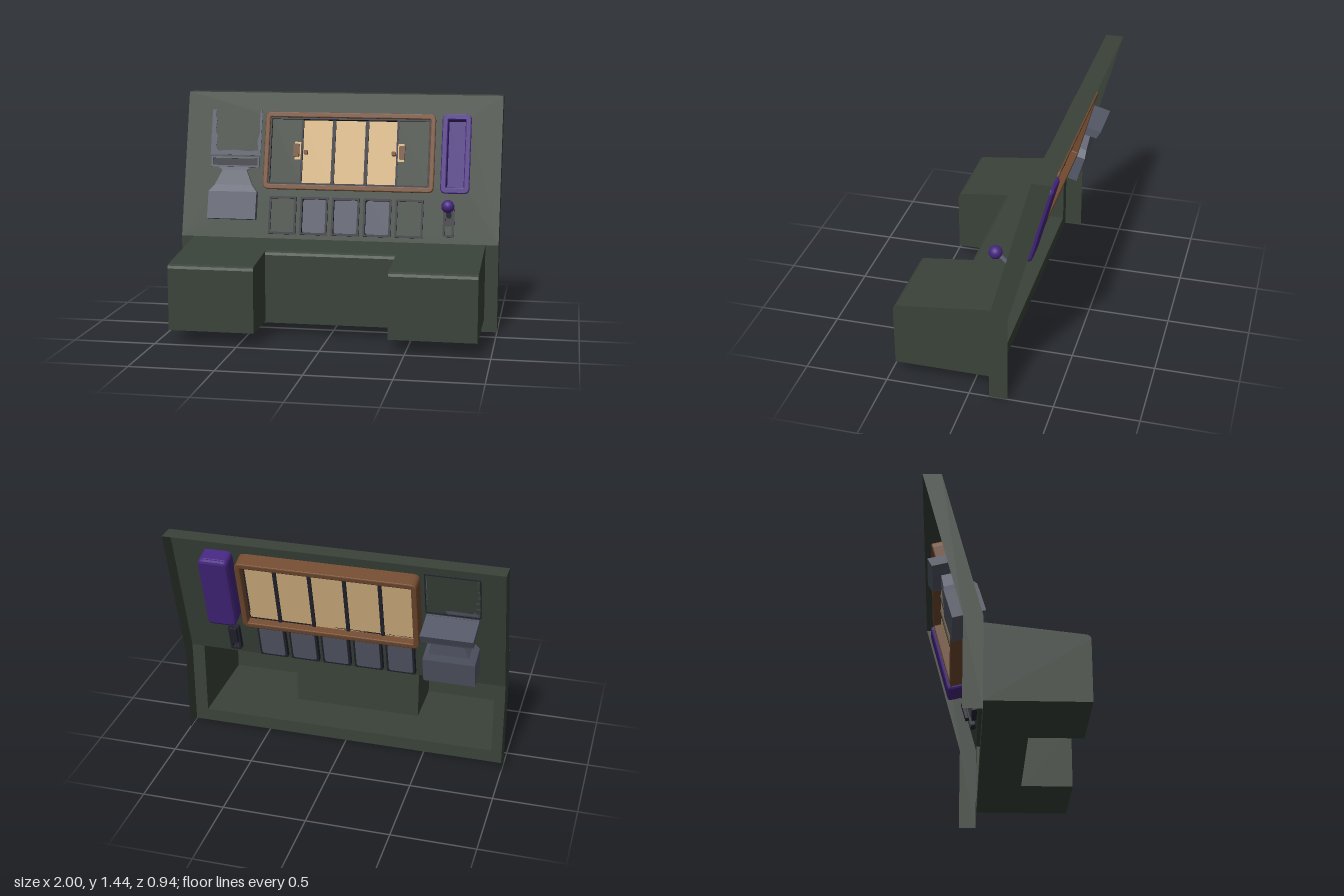
import * as THREE from 'three';

const mat = (name, color, side = THREE.FrontSide) => {
  const m = new THREE.MeshStandardMaterial({ color, side });
  m.name = name;
  return m;
};

export function createModel() {
  const green = mat('dark green', 0x394239, THREE.DoubleSide);
  const grey = mat('slate grey', 0x555968, THREE.DoubleSide);
  const navy = mat('blackish blue', 0x22232e);
  const purple = mat('purple', 0x45267f);
  const brown = mat('brown', 0x724b30);
  const tan = mat('tan', 0xd8b683);

  const model = new THREE.Group();
  model.name = 'console';
  // Sloping face: local y runs up the panel, local z points out of it
  const slope = new THREE.Group();
  slope.name = 'slopingPanel';
  slope.position.set(0, 0.545, -0.12);
  slope.rotation.x = -Math.atan2(0.24, 0.895);
  model.add(slope);
  const S = y => (y - 0.545) * 1.0353;

  const add = (parent, name, geo, material, x = 0, y = 0, z = 0) => {
    const mesh = new THREE.Mesh(geo, material);
    mesh.name = name;
    mesh.position.set(x, y, z);
    parent.add(mesh);
    return mesh;
  };
  const poly = pts => new THREE.Shape(pts.map(p => new THREE.Vector2(...p)));
  // Rounded rectangle on the slope, given by its edges
  const rect = (x0, x1, y0, y1, r = 0.004) => {
    const s = new THREE.Shape(), a = S(y0), b = S(y1);
    s.moveTo(x0 + r, a).lineTo(x1 - r, a).quadraticCurveTo(x1, a, x1, a + r);
    s.lineTo(x1, b - r).quadraticCurveTo(x1, b, x1 - r, b);
    s.lineTo(x0 + r, b).quadraticCurveTo(x0, b, x0, b - r);
    s.lineTo(x0, a + r).quadraticCurveTo(x0, a, x0 + r, a);
    return s;
  };
  const extrude = (shape, n0, n1, bevel = 0) => new THREE.ExtrudeGeometry(shape, {
    depth: n1 - n0 - 2 * bevel, curveSegments: 5, bevelEnabled: bevel > 0,
    bevelSize: bevel, bevelThickness: bevel, bevelOffset: -bevel, bevelSegments: 2,
  }).translate(0, 0, n0 + bevel);
  const plate = (name, m, x0, x1, y0, y1, n0, n1, r) =>
    add(slope, name, extrude(rect(x0, x1, y0, y1, r), n0, n1), m);
  const ring = (name, m, [x0, x1, y0, y1], t, n0, n1, r = 0.004, bevel = 0) => {
    const s = rect(x0, x1, y0, y1, r);
    s.holes.push(rect(x0 + t, x1 - t, y0 + t, y1 - t, Math.max(0.003, r - t)));
    return add(slope, name, extrude(s, n0, n1, bevel), m);
  };

  // Shell: open at the back and underneath
  add(model, 'lowerFront', new THREE.ShapeGeometry(poly([[-1, 0], [1, 0], [1, 0.545], [0.92, 0.545],
    [0.92, 0.08], [-0.92, 0.08], [-0.92, 0.545], [-1, 0.545]])), green, 0, 0, -0.12);
  const side = new THREE.ShapeGeometry(poly([[0.12, 0], [0.23, 0], [0.23, 0.545], [0.47, 1.44],
    [0.36, 1.44], [0.12, 0.545]])).rotateY(Math.PI / 2);
  for (const x of [-1, 1]) add(model, 'sideWall', side, green, x);
  add(model, 'topWall', new THREE.PlaneGeometry(2, 0.11).rotateX(-Math.PI / 2), green, 0, 1.44, -0.415);
  const face = rect(-1, 1, 0.545, 1.44, 0.001);
  face.holes.push(rect(-0.48, 0.58, 0.855, 1.31, 0.02), rect(0.645, 0.795, 0.86, 1.31, 0.02));
  const buttonX = [-0.355, -0.155, 0.045, 0.245, 0.445];
  for (const x of buttonX) face.holes.push(rect(x - 0.08, x + 0.08, 0.585, 0.79));
  add(slope, 'panelFace', new THREE.ShapeGeometry(face), green);

  // Desk: hollow U with a sloping top and softened front edge
  const outline = [[-0.92, -0.12], [-0.92, 0.47], [-0.4, 0.47], [-0.4, 0.15],
    [0.4, 0.15], [0.4, 0.47], [0.92, 0.47], [0.92, -0.12]];
  const topY = z => 0.545 - (z + 0.12) * 0.115;
  const inset = (p, d) => [p[0], p[1] > 0 ? p[1] - d : p[1]];
  const rows = [[0, null], [0, 0.022], [0.007, 0.007], [0.022, 0]];
  const wall = [];
  const deskPoint = (p, [d, drop]) => {
    const [x, z] = inset(p, d);
    return [x, drop === null ? 0.08 : topY(z) - drop, z];
  };
  for (let i = 0; i < outline.length - 1; i++) for (let j = 0; j < 3; j++) {
    const a = deskPoint(outline[i], rows[j]), b = deskPoint(outline[i + 1], rows[j]);
    const c = deskPoint(outline[i + 1], rows[j + 1]), d = deskPoint(outline[i], rows[j + 1]);
    wall.push(...a, ...b, ...c, ...a, ...c, ...d);
  }
  const wallGeo = new THREE.BufferGeometry();
  wallGeo.setAttribute('position', new THREE.Float32BufferAttribute(wall, 3));
  wallGeo.computeVertexNormals();
  add(model, 'deskWalls', wallGeo, green);
  const deskCap = (d, height) => {
    const g = new THREE.ShapeGeometry(poly(outline.map(p => inset(p, d)).map(([x, z]) => [x, -z])));
    g.rotateX(-Math.PI / 2);
    const p = g.attributes.position;
    for (let i = 0; i < p.count; i++) p.setY(i, height(p.getZ(i)));
    g.computeVertexNormals();
    return g;
  };
  add(model, 'deskTop', deskCap(0.022, topY), green);
  const under = deskCap(0, () => 0.08);
  under.index.array.reverse();
  under.computeVertexNormals();
  add(model, 'deskUnderside', under, green);

  // Display cabinet with tan panels behind two sliding doors
  ring('cabinetFrame', brown, [-0.49, 0.59, 0.845, 1.32], 0.032, -0.1, 0.018, 0.04, 0.006);
  ring('cabinetLining', navy, [-0.46, 0.56, 0.875, 1.29], 0.012, -0.05, 0.006);
  for (let i = 0; i < 5; i++) {
    const x = 0.05 + (i - 2) * 0.21;
    plate('cabinetPanel', tan, x - 0.095, x + 0.095, 0.877, 1.288, -0.05, -0.04);
    if (i < 4) plate('cabinetDivider', navy, x + 0.094, x + 0.116, 0.877, 1.288, -0.058, -0.032);
  }
  for (const s of [-1, 1]) {
    const at = (name, m, d, w, y0, y1, n0, n1) =>
      plate(name, m, 0.05 + s * d - w, 0.05 + s * d + w, y0, y1, n0, n1);
    at('slidingDoor', green, 0.402, 0.098, 0.885, 1.28, -0.022, -0.012);
    at('doorEdge', navy, 0.303, 0.006, 0.885, 1.28, -0.024, -0.01);
    at('handlePlate', tan, 0.328, 0.02, 1.03, 1.14, -0.012, -0.006);
    at('doorHandle', brown, 0.335, 0.018, 1.045, 1.125, -0.006, 0.014);
    at('doorKnob', brown, 0.28, 0.012, 1.068, 1.092, -0.04, -0.012);
  }

  // Purple tray
  ring('trayRim', purple, [0.63, 0.81, 0.845, 1.325], 0.036, -0.09, 0.014, 0.035, 0.006);
  add(slope, 'trayBack', extrude(rect(0.63, 0.81, 0.845, 1.325, 0.035), -0.115, -0.075, 0.018), purple);

  // Row of buttons, the outer two covered
  buttonX.forEach((x, i) => {
    ring('buttonFrame', navy, [x - 0.087, x + 0.087, 0.572, 0.802], 0.013, -0.03, 0.012);
    plate('buttonPad', grey, x - 0.074, x + 0.074, 0.587, 0.789, -0.035, -0.012, 0.018);
    if (i === 0 || i === 4) plate('buttonCover', green, x - 0.075, x + 0.075, 0.584, 0.79, -0.008, 0.001);
  });

  // Lever
  ring('leverSlot', navy, [0.655, 0.725, 0.585, 0.765], 0.014, -0.03, 0.01, 0.015);
  plate('leverHousing', navy, 0.665, 0.715, 0.65, 0.76, -0.05, 0.003);
  const from = new THREE.Vector3(0.69, 0.7, -0.18), to = new THREE.Vector3(0.69, 0.785, -0.08);
  const rod = add(model, 'leverRod', new THREE.CylinderGeometry(0.014, 0.018, from.distanceTo(to), 12), grey);
  rod.position.copy(from).lerp(to, 0.5);
  rod.quaternion.setFromUnitVectors(new THREE.Vector3(0, 1, 0), to.clone().sub(from).normalize());
  add(model, 'leverKnob', new THREE.SphereGeometry(0.04, 20, 14), purple, to.x, to.y, to.z);

  // Waisted chute: [height on slope, half width, back, front]
  const rings = [[0.112, 0.155, -0.145, 0.05], [0.285, 0.155, -0.15, 0.044], [0.33, 0.12, -0.14, 0.028],
    [0.425, 0.078, -0.13, 0.016], [0.445, 0.11, -0.174, 0.006], [0.455, 0.155, -0.176, 0.004], [0.508, 0.155, -0.19, 0.002]];
  const corners = ([s, w, b, f]) => [[-w, s, f], [w, s, f], [w, s, b], [-w, s, b]];
  const tri = [];
  const quad = (a, b, c, d) => tri.push(...a, ...b, ...c, ...a, ...c, ...d);
  for (let i = 0; i < rings.length - 1; i++) {
    const lo = corners(rings[i]), hi = corners(rings[i + 1]);
    for (let k = 0; k < 4; k++) quad(lo[k], lo[(k + 1) % 4], hi[(k + 1) % 4], hi[k]);
  }
  quad(...corners(rings[0]).reverse());
  quad(...corners(rings[rings.length - 1]));
  const chute = new THREE.BufferGeometry();
  chute.setAttribute('position', new THREE.Float32BufferAttribute(tri, 3));
  chute.computeVertexNormals();
  add(slope, 'chute', chute, grey, -0.675);
  ring('chuteSlotFrame', grey, [-0.83, -0.52, 0.975, 1.038], 0.01, -0.01, 0.014);
  plate('chuteSlot', navy, -0.82, -0.53, 0.983, 1.03, 0, 0.007);

  // Worn border of the screen above the chute
  const border = poly([[-0.84, 1.05], [-0.515, 1.05], [-0.515, 1.33], [-0.527, 1.33], [-0.53, 1.25], [-0.525, 1.2],
    [-0.54, 1.13], [-0.53, 1.08], [-0.6, 1.075], [-0.68, 1.082], [-0.79, 1.075], [-0.805, 1.1], [-0.798, 1.17],
    [-0.815, 1.2], [-0.808, 1.27], [-0.82, 1.3], [-0.81, 1.33], [-0.84, 1.33]].map(([x, y]) => [x, S(y)]));
  add(slope, 'screenBorder', extrude(border, 0, 0.004), grey);
  ring('screenBackEdge', navy, [-0.84, -0.515, 1.05, 1.33], 0.005, -0.006, -0.001);

  return model;
}
